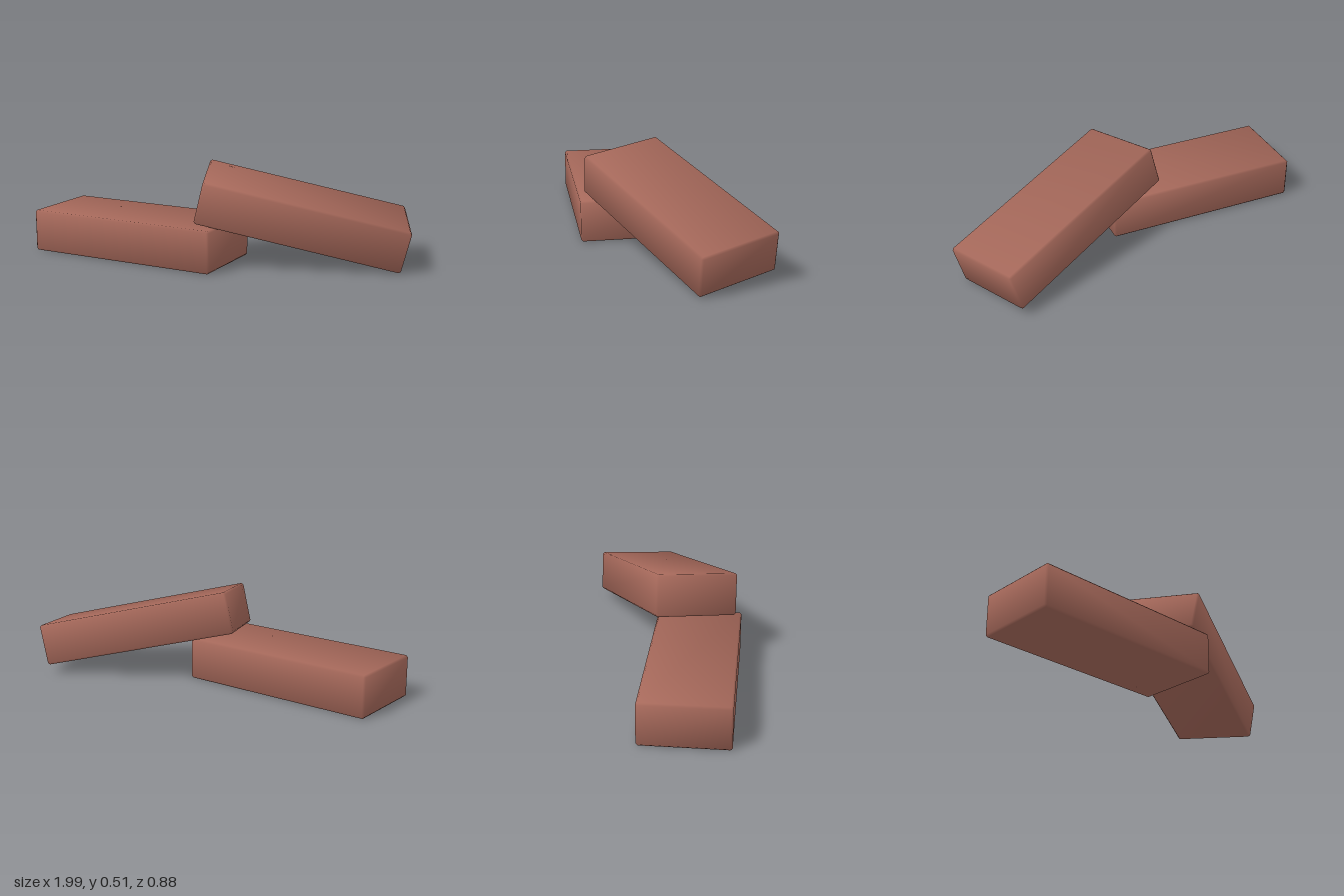
import * as THREE from 'three';
import { ConvexGeometry } from 'three/addons/geometries/ConvexGeometry.js';

// Box with narrow chamfered edges and soft normals leaning over the chamfers
function chamferedBox(width, height, depth, chamfer) {
  const half = [width / 2, height / 2, depth / 2];
  const points = [];
  for (const sx of [-1, 1]) for (const sy of [-1, 1]) for (const sz of [-1, 1]) {
    const signs = [sx, sy, sz];
    for (let axis = 0; axis < 3; axis++) {
      const p = signs.map((s, i) => s * (half[i] - (i === axis ? 0 : chamfer)));
      points.push(new THREE.Vector3(...p));
    }
  }
  const geometry = new ConvexGeometry(points);
  const position = geometry.attributes.position;
  const normal = geometry.attributes.normal;
  for (let i = 0; i < position.count; i++) {
    const p = [position.getX(i), position.getY(i), position.getZ(i)];
    const n = new THREE.Vector3(...p.map((v, a) =>
      Math.sign(v) * (Math.abs(v) > half[a] - chamfer / 2 ? 3 : 1.28))).normalize();
    normal.setXYZ(i, n.x, n.y, n.z);
  }
  return geometry;
}

export function createModel() {
  const group = new THREE.Group();
  const brickRed = new THREE.MeshStandardMaterial({ color: 0xa5685a });
  brickRed.name = 'brickRed';
  const geometry = chamferedBox(1.085, 0.225, 0.452, 0.01);

  // Brick lying flat
  const flatBrick = new THREE.Mesh(geometry, brickRed);
  flatBrick.name = 'flatBrick';
  flatBrick.position.set(-0.457, 0.1125, 0.212);
  group.add(flatBrick);

  // Brick turned aside and leaning on the first
  const leaningBrick = new THREE.Mesh(geometry, brickRed);
  leaningBrick.name = 'leaningBrick';
  leaningBrick.position.set(0.405, 0.256, -0.015);
  leaningBrick.rotation.set(0, THREE.MathUtils.degToRad(24), THREE.MathUtils.degToRad(-14.6), 'ZYX');
  group.add(leaningBrick);

  return group;
}
